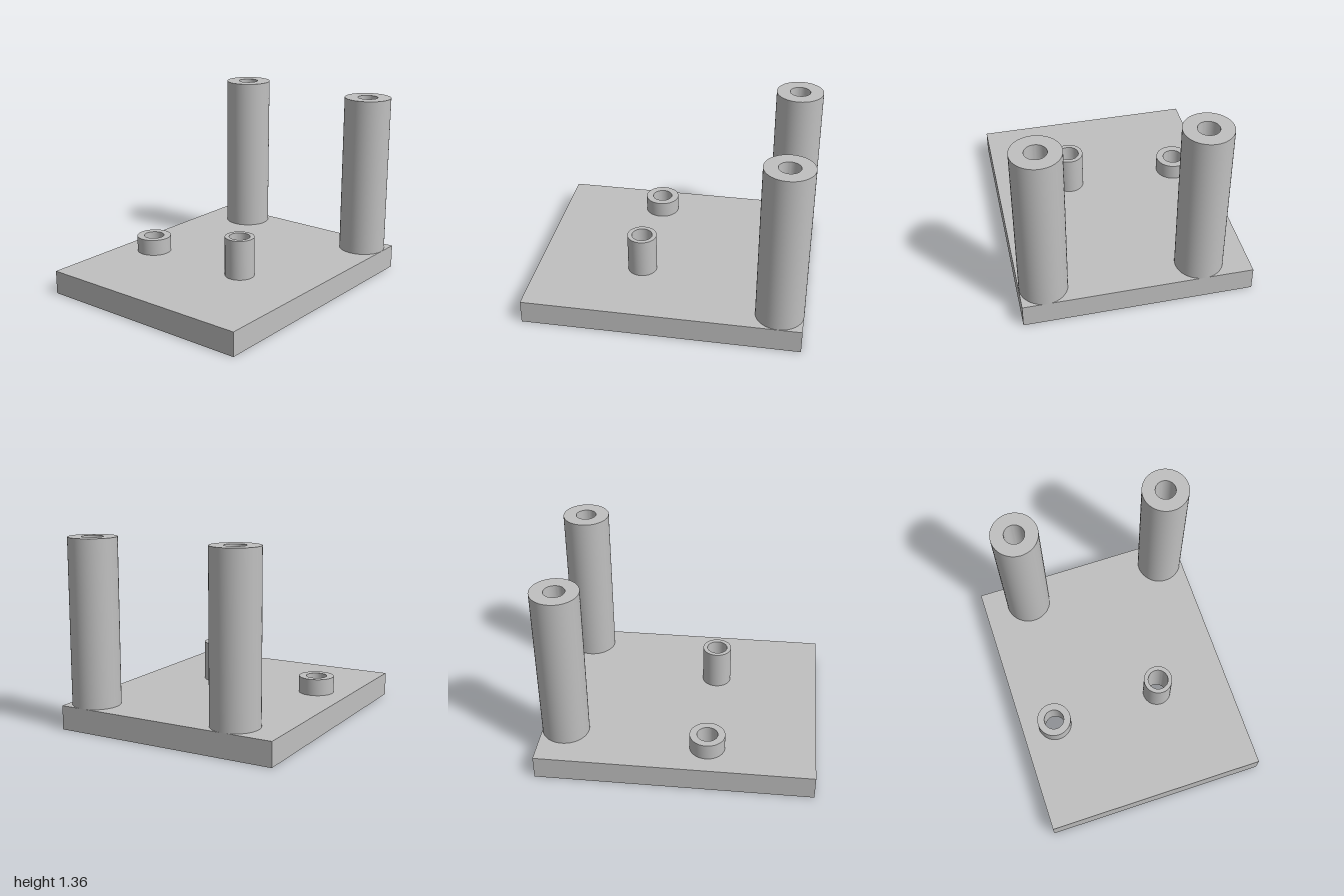
import * as THREE from 'three';
import { toCreasedNormals } from 'three/addons/utils/BufferGeometryUtils.js';

const HALF_X = 0.824, HALF_Z = 1;
const PLATE_TOP = 0.173, POCKET_DEPTH = 0.12;
const BORE = 0.075;

// Each standoff: position, outer radius, top height, and pocket under the plate
const STANDOFFS = [
  { name: 'backRightPost', x: -0.47, z: -0.83, r: 0.172, top: 1.355, pocket: 'hex' },
  { name: 'backLeftPost', x: 0.65, z: -0.83, r: 0.172, top: 1.355, pocket: 'hex' },
  { name: 'lowBoss', x: -0.57, z: 0.222, r: 0.128, top: 0.293, pocket: 'hex' },
  { name: 'shortPost', x: 0.265, z: 0.222, r: 0.107, top: 0.466, pocket: 'round' },
];

// Shapes are drawn in plan, with shape y = -z
function circle(PathType, x, z, r) {
  return new PathType().absarc(x, -z, r, 0, Math.PI * 2, false);
}

function hexagon(x, z, r) {
  const points = [];
  for (let i = 0; i < 6; i++) {
    const a = Math.PI / 2 + i * Math.PI / 3;
    points.push(new THREE.Vector2(x + r * Math.cos(a), -z + r * Math.sin(a)));
  }
  return new THREE.Path(points).closePath();
}

function rectangle() {
  return new THREE.Shape([
    new THREE.Vector2(-HALF_X, -HALF_Z), new THREE.Vector2(HALF_X, -HALF_Z),
    new THREE.Vector2(HALF_X, HALF_Z), new THREE.Vector2(-HALF_X, HALF_Z),
  ]);
}

// Raise a plan shape from y0 to y1, smooth around curves and sharp at edges
function raise(name, shape, y0, y1, material) {
  const geometry = new THREE.ExtrudeGeometry(shape, {
    depth: y1 - y0, bevelEnabled: false, curveSegments: 24,
  });
  geometry.rotateX(-Math.PI / 2).translate(0, y0, 0);
  const mesh = new THREE.Mesh(toCreasedNormals(geometry, 0.6), material);
  mesh.name = name;
  return mesh;
}

export function createModel() {
  const model = new THREE.Group();
  model.name = 'mountingPlate';
  const grey = new THREE.MeshStandardMaterial({ color: 0xc0c0c0 });
  grey.name = 'grey plastic';

  // Plate: lower layer carries the nut and screw-head pockets, upper layer the bores
  const lower = rectangle(), upper = rectangle();
  for (const s of STANDOFFS) {
    lower.holes.push(s.pocket === 'hex'
      ? hexagon(s.x, s.z, 0.149)
      : circle(THREE.Path, s.x, s.z, 0.133));
    upper.holes.push(circle(THREE.Path, s.x, s.z, BORE));
  }
  model.add(raise('plateLower', lower, 0, POCKET_DEPTH, grey));
  model.add(raise('plateUpper', upper, POCKET_DEPTH, PLATE_TOP, grey));

  // Hollow standoffs
  for (const s of STANDOFFS) {
    const ring = circle(THREE.Shape, s.x, s.z, s.r);
    ring.holes.push(circle(THREE.Path, s.x, s.z, BORE));
    model.add(raise(s.name, ring, PLATE_TOP, s.top, grey));
  }
  return model;
}
